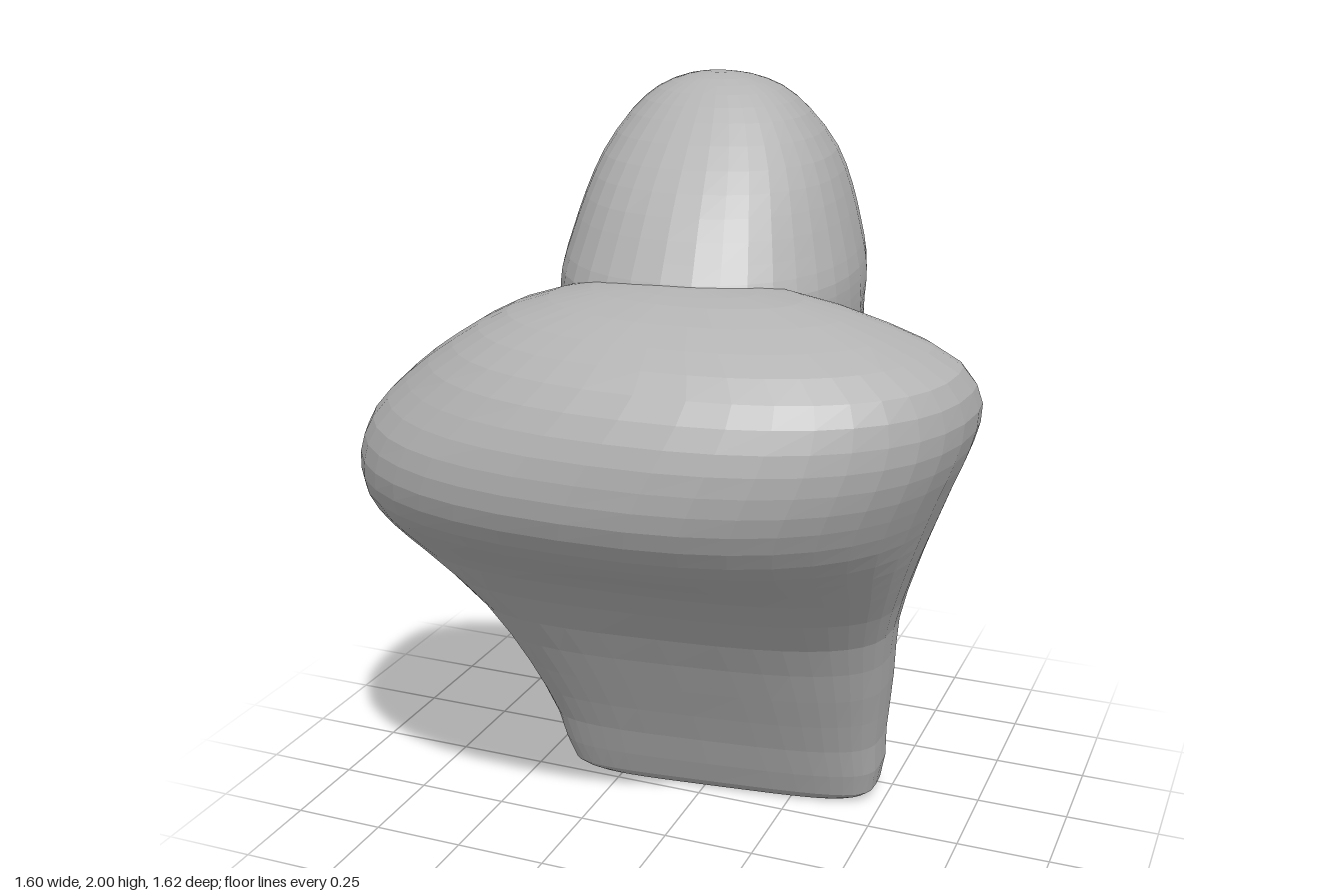
import * as THREE from 'three';

const clay = new THREE.MeshStandardMaterial({ color: 0xb3b3b3 });
clay.name = 'grey clay';

// Signed power, used for rounded-box (superellipse) cross-sections
const spow = (v, p) => Math.sign(v) * Math.pow(Math.abs(v), p);

// Lofts a faceted skin through the levels; ring(level, angle) gives a point on a cross-section
function loft(name, levels, segments, rowsPerLevel, ring) {
  const rows = (levels.length - 1) * rowsPerLevel;
  const columns = [];
  for (let i = 0; i < segments; i++) {
    const a = (i / segments) * Math.PI * 2;
    columns.push(new THREE.CatmullRomCurve3(levels.map((l) => ring(l, a))).getPoints(rows));
  }
  const pos = [];
  const tri = (...pts) => pts.forEach((p) => pos.push(p.x, p.y, p.z));
  const centre = (row) => columns.reduce((s, c) => s.add(c[row]), new THREE.Vector3()).divideScalar(segments);
  const bottom = centre(0);
  const top = centre(rows);
  for (let i = 0; i < segments; i++) {
    const p = columns[i];
    const q = columns[(i + 1) % segments];
    for (let r = 0; r < rows; r++) {
      tri(p[r], p[r + 1], q[r]);
      tri(q[r], p[r + 1], q[r + 1]);
    }
    tri(bottom, p[0], q[0]);
    tri(top, q[rows], p[rows]);
  }
  const geo = new THREE.BufferGeometry();
  geo.setAttribute('position', new THREE.Float32BufferAttribute(pos, 3));
  geo.computeVertexNormals();
  const mesh = new THREE.Mesh(geo, clay);
  mesh.name = name;
  return mesh;
}

// Leaning torso with a broad, uneven shoulder roll
// y, z of the back, z of the chest, x right, x left, position of widest depth, squareness
function makeTorso() {
  const levels = [
    [0.0, -0.05, -0.21, -0.35, 0.42, 0.5, 4],
    [0.03, -0.02, -0.235, -0.4, 0.47, 0.5, 4],
    [0.2, 0.06, -0.24, -0.43, 0.49, 0.5, 3.5],
    [0.4, 0.17, -0.21, -0.48, 0.52, 0.5, 3.2],
    [0.6, 0.29, -0.14, -0.56, 0.55, 0.45, 3],
    [0.8, 0.47, -0.08, -0.7, 0.62, 0.4, 2.8],
    [0.9, 0.61, -0.06, -0.77, 0.66, 0.35, 2.5],
    [1.0, 0.74, -0.05, -0.8, 0.7, 0.3, 2.4],
    [1.1, 0.8, -0.04, -0.79, 0.74, 0.3, 2.35],
    [1.2, 0.81, -0.02, -0.74, 0.78, 0.3, 2.35],
    [1.3, 0.79, 0.01, -0.64, 0.8, 0.3, 2.3],
    [1.4, 0.73, 0.06, -0.5, 0.76, 0.35, 2.3],
    [1.48, 0.62, 0.11, -0.36, 0.6, 0.4, 2.2],
    [1.54, 0.46, 0.18, -0.15, 0.38, 0.5, 2],
    [1.555, 0.36, 0.25, 0.02, 0.16, 0.5, 2],
  ];
  return loft('torso', levels, 40, 2, ([y, zb, zc, xr, xl, mid, n], a) => {
    const cx = (xr + xl) / 2;
    const cz = zc + (zb - zc) * mid;
    const s = Math.sin(a);
    // the chest side is squarer than the back
    const e = 2 / (s < 0 ? n + 0.6 : n);
    const x = cx + ((xl - xr) / 2) * spow(Math.cos(a), e);
    const z = cz + (s > 0 ? zb - cz : cz - zc) * spow(s, e);
    // the waist is turned against the shoulders
    const twist = 0.12 * (1 - THREE.MathUtils.smoothstep(y, 0.5, 1.1));
    return new THREE.Vector3(x, y, z - twist * x);
  });
}

// Heavy head and neck, face turned to -z
// y, z of the nape, z of the face, half width, taper towards the face, eye hollow depth
function makeHead() {
  const levels = [
    [0.48, 0.1, -0.14, 0.26, 0, 0],
    [0.6, 0.14, -0.2, 0.27, 0, 0],
    [0.7, 0.18, -0.32, 0.27, 0.1, 0],
    [0.77, 0.21, -0.54, 0.275, 0.3, 0],
    [0.81, 0.22, -0.7, 0.285, 0.36, 0],
    [0.88, 0.25, -0.78, 0.31, 0.42, 0],
    [1.0, 0.28, -0.81, 0.35, 0.44, 0],
    [1.12, 0.3, -0.8, 0.375, 0.4, 0],
    [1.25, 0.32, -0.775, 0.395, 0.3, 0],
    [1.36, 0.35, -0.735, 0.4, 0.2, 0.01],
    [1.41, 0.36, -0.715, 0.4, 0.15, 0.03],
    [1.46, 0.37, -0.73, 0.4, 0.1, 0],
    [1.52, 0.36, -0.71, 0.395, 0.06, 0],
    [1.6, 0.31, -0.68, 0.375, 0.03, 0],
    [1.7, 0.24, -0.635, 0.345, 0, 0],
    [1.8, 0.15, -0.57, 0.305, 0, 0],
    [1.9, 0.04, -0.455, 0.235, 0, 0],
    [1.96, -0.04, -0.37, 0.165, 0, 0],
    [1.99, -0.11, -0.29, 0.09, 0, 0],
    [2.0, -0.17, -0.23, 0.03, 0, 0],
  ];
  return loft('head', levels, 36, 2, ([y, zb, zf, w, taper, hollow], a) => {
    const s = Math.sin(a);
    const front = Math.max(0, -s);
    // the face is squarer than the nape
    const e = 2 / (s < 0 ? 2.55 : 2.2);
    const z = (zb + zf) / 2 + ((zb - zf) / 2) * spow(s, e);
    const x = w * spow(Math.cos(a), e) * (1 - taper * front);
    // hollows on both sides of the nose bridge
    const eye = hollow * Math.exp(-(((Math.abs(x) - 0.15) / 0.09) ** 2)) * front;
    return new THREE.Vector3(x + 0.1 * z, y, z + eye);
  });
}

export function createModel() {
  const bust = new THREE.Group();
  bust.name = 'bust';
  bust.add(makeTorso(), makeHead());
  return bust;
}
